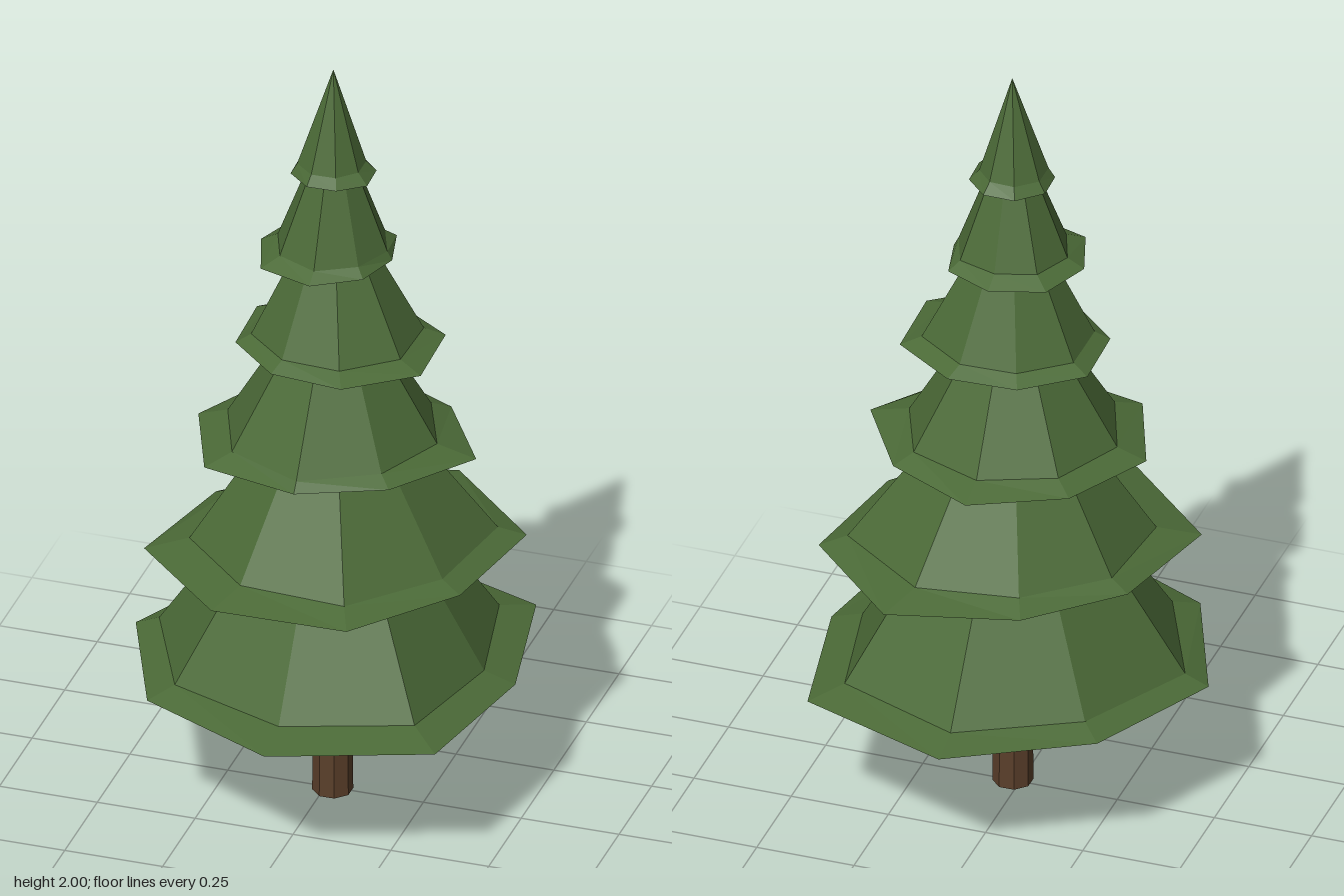
import * as THREE from 'three';

const SIDES = 8;
const CENTRE_X = 0.02;

// Each tier: base height, rim height, apex height, rotation,
// ragged outer brim radii and inner radii (clockwise from the back)
const TIERS = [
  { y: 0.37, rim: 0.395, apex: 1.06, turn: 0,
    outer: [0.535, 0.55, 0.465, 0.55, 0.53, 0.505, 0.505, 0.478],
    inner: [0.448, 0.45, 0.385, 0.44, 0.42, 0.43, 0.445, 0.41] },
  { y: 0.685, rim: 0.71, apex: 1.24, turn: 0.5,
    outer: [0.466, 0.47, 0.406, 0.446, 0.452, 0.46, 0.377, 0.374],
    inner: [0.352, 0.4, 0.35, 0.365, 0.345, 0.35, 0.325, 0.31] },
  { y: 0.98, rim: 1.005, apex: 1.46, turn: 0,
    outer: [0.34, 0.32, 0.365, 0.3, 0.305, 0.35, 0.345, 0.32],
    inner: [0.26, 0.265, 0.265, 0.26, 0.285, 0.275, 0.27, 0.26] },
  { y: 1.25, rim: 1.272, apex: 1.69, turn: 0.5,
    outer: [0.234, 0.273, 0.28, 0.252, 0.231, 0.238, 0.245, 0.226],
    inner: [0.19, 0.22, 0.215, 0.2, 0.19, 0.2, 0.2, 0.185] },
  { y: 1.495, rim: 1.518, apex: 1.89, turn: 0,
    outer: [0.176, 0.172, 0.15, 0.16, 0.185, 0.197, 0.185, 0.19],
    inner: [0.13, 0.14, 0.138, 0.135, 0.15, 0.145, 0.142, 0.14] },
  { y: 1.715, rim: 1.742, apex: 2, turn: 0.5,
    outer: [0.105, 0.105, 0.108, 0.097, 0.099, 0.104, 0.107, 0.106],
    inner: [0.082, 0.08, 0.08, 0.08, 0.082, 0.088, 0.088, 0.085] },
];

// Closed cone with a shallow flared brim and a flat underside
function tierGeometry({ y, rim, apex, turn, outer, inner }) {
  const ring = (radii, height) => radii.map((r, i) => {
    const a = ((i + turn) / SIDES) * Math.PI * 2;
    return [r * Math.sin(a), height, -r * Math.cos(a)];
  });
  const brim = ring(outer, y);
  const fold = ring(inner, rim);
  const top = [0, apex, 0];
  const base = [0, y, 0];
  const points = [];
  for (let i = 0; i < SIDES; i++) {
    const j = (i + 1) % SIDES;
    points.push(fold[i], top, fold[j]);
    points.push(brim[i], fold[i], fold[j], brim[i], fold[j], brim[j]);
    points.push(base, brim[i], brim[j]);
  }
  const geometry = new THREE.BufferGeometry();
  geometry.setAttribute('position', new THREE.Float32BufferAttribute(points.flat(), 3));
  geometry.computeVertexNormals();
  return geometry;
}

export function createModel() {
  const tree = new THREE.Group();
  tree.name = 'pineTree';

  const needles = new THREE.MeshStandardMaterial({ color: 0x4b6a37, flatShading: true });
  needles.name = 'needle green';
  const bark = new THREE.MeshStandardMaterial({ color: 0x5a3f2a, flatShading: true });
  bark.name = 'bark brown';

  // Trunk
  const trunkGeometry = new THREE.CylinderGeometry(0.046, 0.05, 0.4, SIDES);
  trunkGeometry.rotateY(Math.PI / SIDES);
  const trunk = new THREE.Mesh(trunkGeometry, bark);
  trunk.name = 'trunk';
  trunk.position.set(CENTRE_X, 0.2, 0.005);
  tree.add(trunk);

  // Foliage tiers, bottom to top
  const foliage = new THREE.Group();
  foliage.name = 'foliage';
  foliage.position.x = CENTRE_X;
  TIERS.forEach((tier, i) => {
    const mesh = new THREE.Mesh(tierGeometry(tier), needles);
    mesh.name = `foliageTier${i + 1}`;
    foliage.add(mesh);
  });
  tree.add(foliage);

  return tree;
}
